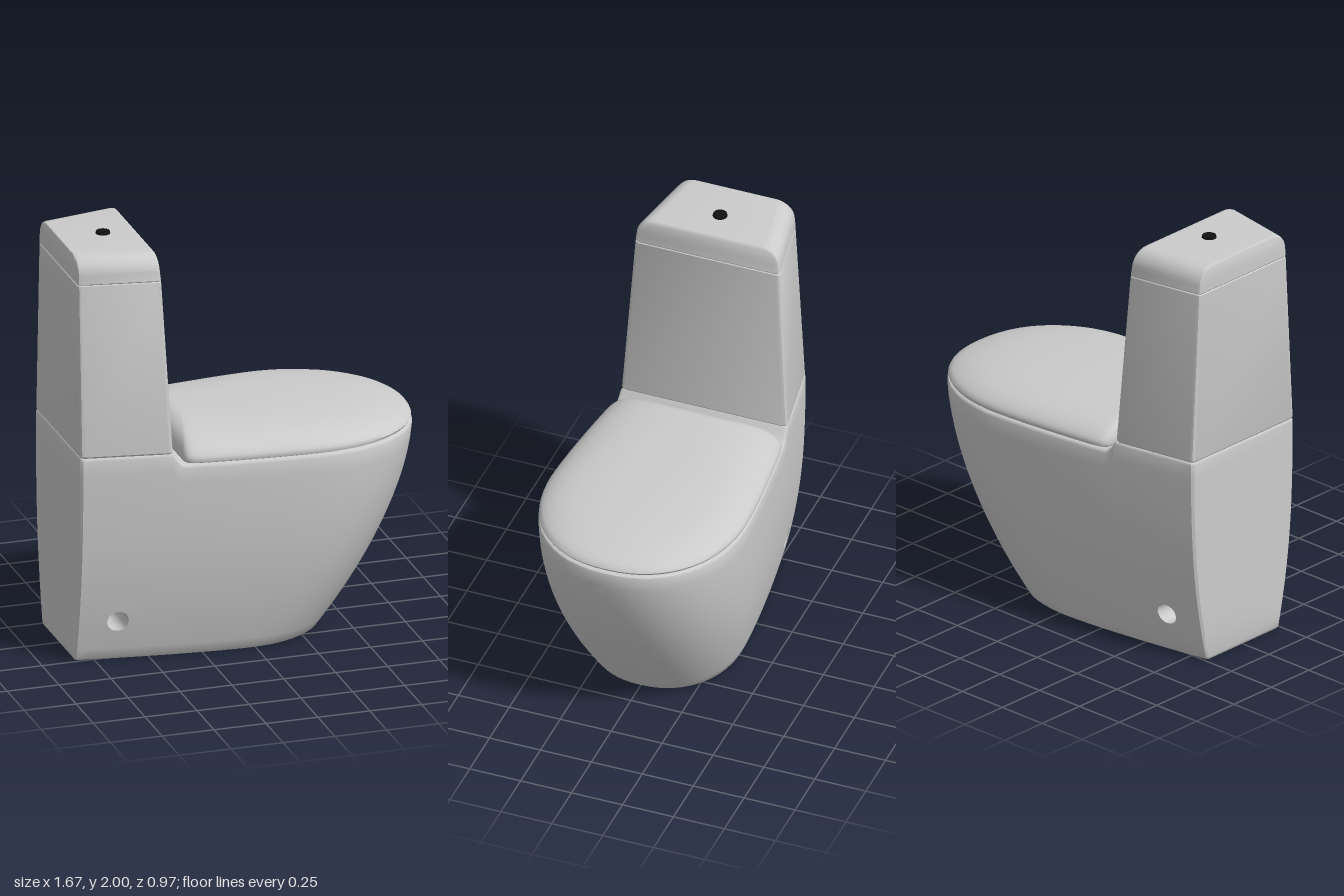
import * as THREE from 'three';
import { toCreasedNormals } from 'three/addons/utils/BufferGeometryUtils.js';

const BACK = -0.84;

// Half width of the egg-shaped plan; t runs from the back (0) to the nose (1)
function planHalf(t) {
  const x = BACK + 1.675 * t;
  if (x < 0.28) return 0.485 - 0.145 * Math.pow((0.28 - x) / 1.12, 1.45);
  const u = Math.min(1, (x - 0.28) / 0.555);
  return t >= 1 ? 0 : 0.485 * Math.pow(1 - Math.pow(u, 2.2), 1 / 2.2);
}

// Plan stations: dense at the step behind the seat and around the nose
const stations = [0, 0.006, 0.05, 0.09, 0.136, 0.18, 0.22, 0.25, 0.259, 0.268, 0.277, 0.287,
  0.33, 0.4, 0.47, 0.54, 0.61, 0.67];
for (let k = 1; k <= 16; k++) stations.push(k === 16 ? 1 : 0.67 + 0.33 * Math.sin((k / 16) * Math.PI / 2));

// Close a +z half outline with its mirror image
function mirrorRing(half) {
  const other = half.filter(p => p[2] > 0).map(([x, y, z]) => [x, y, -z]).reverse();
  return [...half, ...other];
}

function addQuad(out, a, b, c, d) {
  out.push(...a, ...b, ...c, ...a, ...c, ...d);
}

// Skin rings from bottom to top and close both ends; skip(i, j) leaves openings
function loft(rings, skip = () => false) {
  const out = [], n = rings[0].length;
  for (let j = 0; j < rings.length - 1; j++) {
    for (let i = 0; i < n; i++) {
      const k = (i + 1) % n;
      if (!skip(i, j)) addQuad(out, rings[j][i], rings[j][k], rings[j + 1][k], rings[j + 1][i]);
    }
  }
  const lo = rings[0], hi = rings[rings.length - 1];
  for (let i = 0; i < Math.floor((n - 1) / 2); i++) {
    addQuad(out, hi[i], hi[i + 1], hi[n - 2 - i], hi[n - 1 - i]);
    addQuad(out, lo[n - 1 - i], lo[n - 2 - i], lo[i + 1], lo[i]);
  }
  return out;
}

function makeMesh(name, positions, crease = 0.6) {
  const geo = new THREE.BufferGeometry();
  geo.setAttribute('position', new THREE.Float32BufferAttribute(positions, 3));
  const mesh = new THREE.Mesh(toCreasedNormals(geo, crease),
    new THREE.MeshStandardMaterial({ color: 0xcccccc }));
  mesh.name = name;
  return mesh;
}

// Pedestal side: v is the height fraction, inset rounds the rims
const frontAt = v => 0.835 - 0.455 * Math.pow(1 - v, 1.63);
const widthAt = v => (0.483 - 0.143 * Math.pow(1 - v, 2.4)) / 0.485;
function bodyPoint(t, v, inset = 0) {
  const step = THREE.MathUtils.clamp((0.287 - t) / 0.035, 0, 1) ** 2;
  const lift = THREE.MathUtils.smoothstep(v, 0.5, 0.97);
  const x = BACK + inset * 0.5 + t * (frontAt(v) - BACK - inset * 1.5);
  const z = planHalf(t) * widthAt(v) * (1 - inset / 0.48) - (t === 0 ? 0.01 : 0);
  return [x, v * 0.97 + 0.06 * step * lift, z];
}

function buildBody() {
  const rows = [[0, 0.012], [0.012, 0], [0.06, 0], [0.133, 0], [0.206, 0], [0.279, 0], [0.352, 0]];
  for (let v = 0.42; v < 0.97; v += 0.07) rows.push([v, 0]);
  rows.push([0.983, 0], [0.993, 0.004], [0.998, 0.011], [1, 0.022]);
  const rings = rows.map(([v, inset]) => mirrorRing(stations.map(t => bodyPoint(t, v, inset))));
  const n = rings[0].length;

  // Leave a window on both sides for the fixing hole
  const i0 = 2, i1 = 6, j0 = 2, j1 = 6;
  const inWindow = (i, j) => j >= j0 && j < j1 &&
    ((i >= i0 && i < i1) || (n - 2 - i >= i0 && n - 2 - i < i1));
  const out = loft(rings, inWindow);

  // Join the window border to a round hole, then line the hole through the body
  const border = [];
  for (let i = i0; i < i1; i++) border.push(rings[j0][i]);
  for (let j = j0; j < j1; j++) border.push(rings[j][i1]);
  for (let i = i1; i > i0; i--) border.push(rings[j1][i]);
  for (let j = j1; j > j0; j--) border.push(rings[j][i0]);
  const hx = -0.655, hy = 0.2, r = 0.05;
  const circle = border.map(([x, y]) => {
    const a = Math.atan2(y - hy, x - hx);
    const cx = hx + r * Math.cos(a), cy = hy + r * Math.sin(a), v = cy / 0.97;
    const t = (cx - BACK) / (frontAt(v) - BACK);
    return [cx, cy, planHalf(t) * widthAt(v)];
  });
  const flip = ([x, y, z]) => [x, y, -z];
  border.forEach((a, k) => {
    const m = (k + 1) % border.length, b = border[m], c = circle[m], d = circle[k];
    addQuad(out, a, b, c, d);
    addQuad(out, flip(d), flip(c), flip(b), flip(a));
    addQuad(out, d, c, flip(c), flip(d));
  });
  return makeMesh('pedestal', out);
}

// Domed lid: shrinking rings pulled toward the hinge so the back stays steep
function buildLid() {
  const zb = planHalf(0.3) - 0.005;
  const half = [[-0.36, zb - 0.05], [-0.356, zb - 0.028], [-0.345, zb - 0.01], [-0.322, zb]];
  for (const t of stations) if (t >= 0.33) half.push([BACK + 1.67 * t, planHalf(t) * 0.992]);
  const cx = -0.25;
  const profile = [[0.975, 0.973], [0.993, 0.977], [1, 0.988], [0.994, 1.0], [0.975, 1.012], [0.94, 1.026],
    [0.88, 1.043], [0.8, 1.058], [0.7, 1.07], [0.58, 1.08], [0.44, 1.088], [0.28, 1.092], [0.1, 1.094]];
  const rings = profile.map(([s, y]) => mirrorRing(half.map(([x, z]) => [cx + (x - cx) * s, y, z * s])));
  return makeMesh('lid', loft(rings), 0.8);
}

// Tapered cistern section with small rounded corners
function cisternRing(y, xb, xf, zb, zf, r = 0.02) {
  return mirrorRing([
    [xb, y, zb - r], [xb + 0.3 * r, y, zb - 0.3 * r], [xb + r, y, zb],
    [xf - r, y, zf], [xf - 0.3 * r, y, zf - 0.3 * r], [xf, y, zf - r],
  ]);
}

function buildCistern() {
  return makeMesh('cistern', loft([
    cisternRing(1.028, BACK + 0.004, -0.421, 0.336, 0.402),
    cisternRing(1.036, BACK, -0.416, 0.341, 0.407),
    cisternRing(1.858, BACK, -0.455, 0.295, 0.356),
    cisternRing(1.863, BACK + 0.004, -0.459, 0.291, 0.352),
  ]));
}

// Cover with broad rounded shoulders at the sides
function buildCover() {
  const rings = [
    cisternRing(1.863, BACK + 0.004, -0.459, 0.291, 0.352),
    cisternRing(1.868, BACK, -0.456, 0.295, 0.356),
  ];
  const steps = 8;
  for (let k = 0; k <= steps; k++) {
    const a = (k / steps) * Math.PI / 2;
    const side = 0.085 * (1 - Math.cos(a));
    const edge = 0.016 * Math.pow(k / steps, 4);
    rings.push(cisternRing(1.9 + 0.09 * Math.sin(a), BACK + edge * 0.5,
      -0.459 - 0.007 * Math.sin(a) - edge, 0.292 - side, 0.352 - side));
  }
  return makeMesh('cisternCover', loft(rings));
}

function buildButton() {
  const button = new THREE.Mesh(new THREE.CylinderGeometry(0.032, 0.035, 0.014, 32),
    new THREE.MeshStandardMaterial({ color: 0x111111 }));
  button.position.set(-0.625, 1.993, 0);
  button.name = 'flushButton';
  return button;
}

export function createModel() {
  const model = new THREE.Group();
  model.name = 'toilet';
  model.add(buildBody(), buildLid(), buildCistern(), buildCover(), buildButton());
  return model;
}
